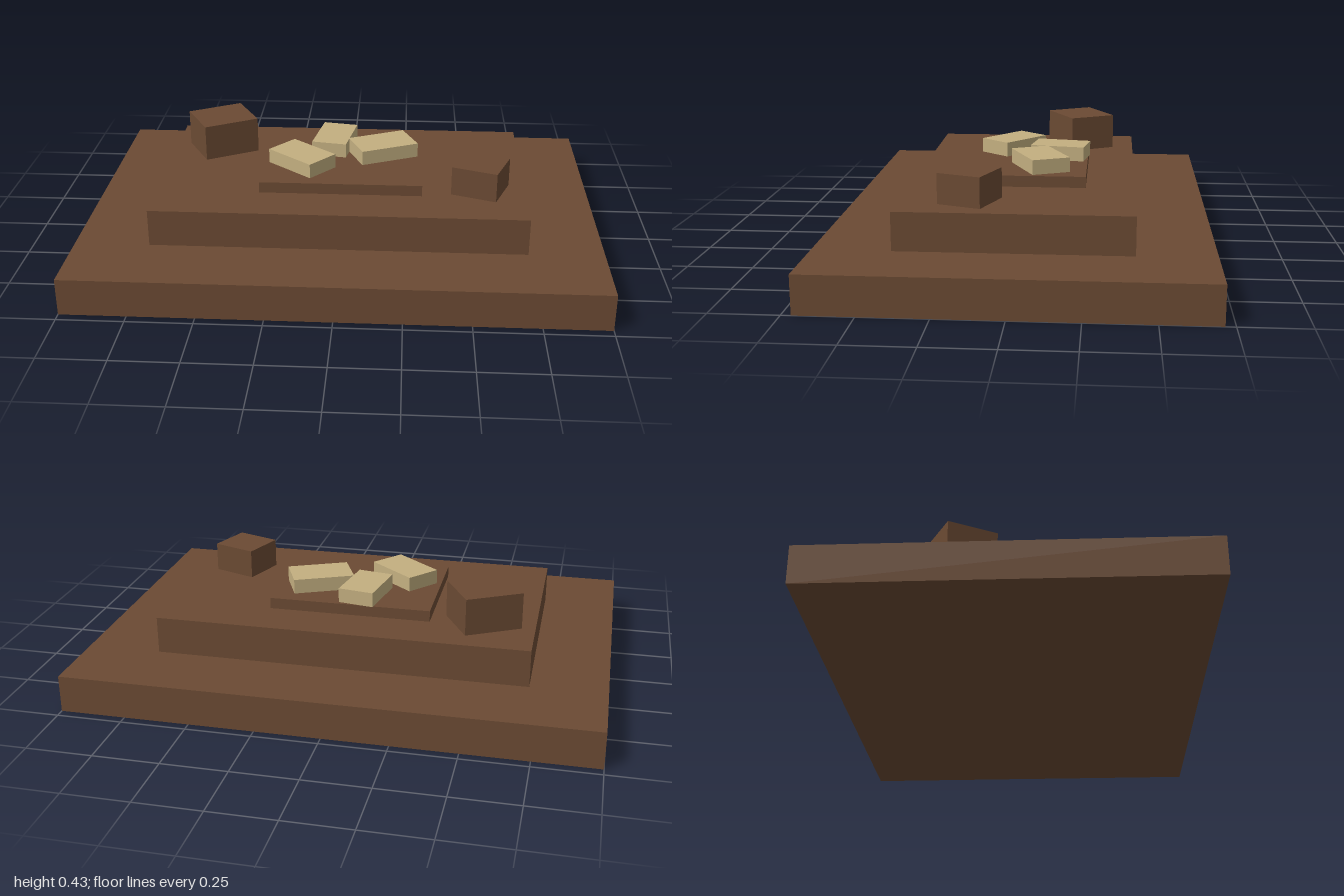
import * as THREE from 'three';

export function createModel() {
  const group = new THREE.Group();
  const brown = new THREE.MeshStandardMaterial({ color: 0x6b4a33 });
  brown.name = 'brown earth';
  const tan = new THREE.MeshStandardMaterial({ color: 0xc3af80 });
  tan.name = 'pale tan';

  // A box resting on height y, turned about the vertical axis
  function block(name, material, [w, h, d], [x, y, z], turn = 0) {
    const mesh = new THREE.Mesh(new THREE.BoxGeometry(w, h, d), material);
    mesh.name = name;
    mesh.position.set(x, y + h / 2, z);
    mesh.rotation.y = turn;
    group.add(mesh);
  }

  // Stepped platform
  block('baseSlab', brown, [2, 0.143, 1.429], [0, 0, 0]);
  block('middleStep', brown, [1.429, 0.143, 0.857], [0, 0.143, 0]);
  block('topTray', brown, [0.629, 0.043, 0.486], [0, 0.286, 0]);

  // Loose blocks on the middle step
  block('largeBlock', brown, [0.228, 0.143, 0.2], [-0.515, 0.286, -0.2], 0.5);
  block('smallBlock', brown, [0.18, 0.114, 0.171], [0.54, 0.286, 0.17], -0.35);

  // Pale bars scattered on the tray
  const bars = [
    [0.228, 0.143, -0.162, 0.067, -0.7],
    [0.216, 0.14, -0.043, -0.132, 1.4],
    [0.24, 0.153, 0.156, -0.061, 0.42],
  ];
  bars.forEach(([w, d, x, z, turn], i) =>
    block(`paleBar${i + 1}`, tan, [w, 0.057, d], [x, 0.329, z], turn));

  return group;
}
